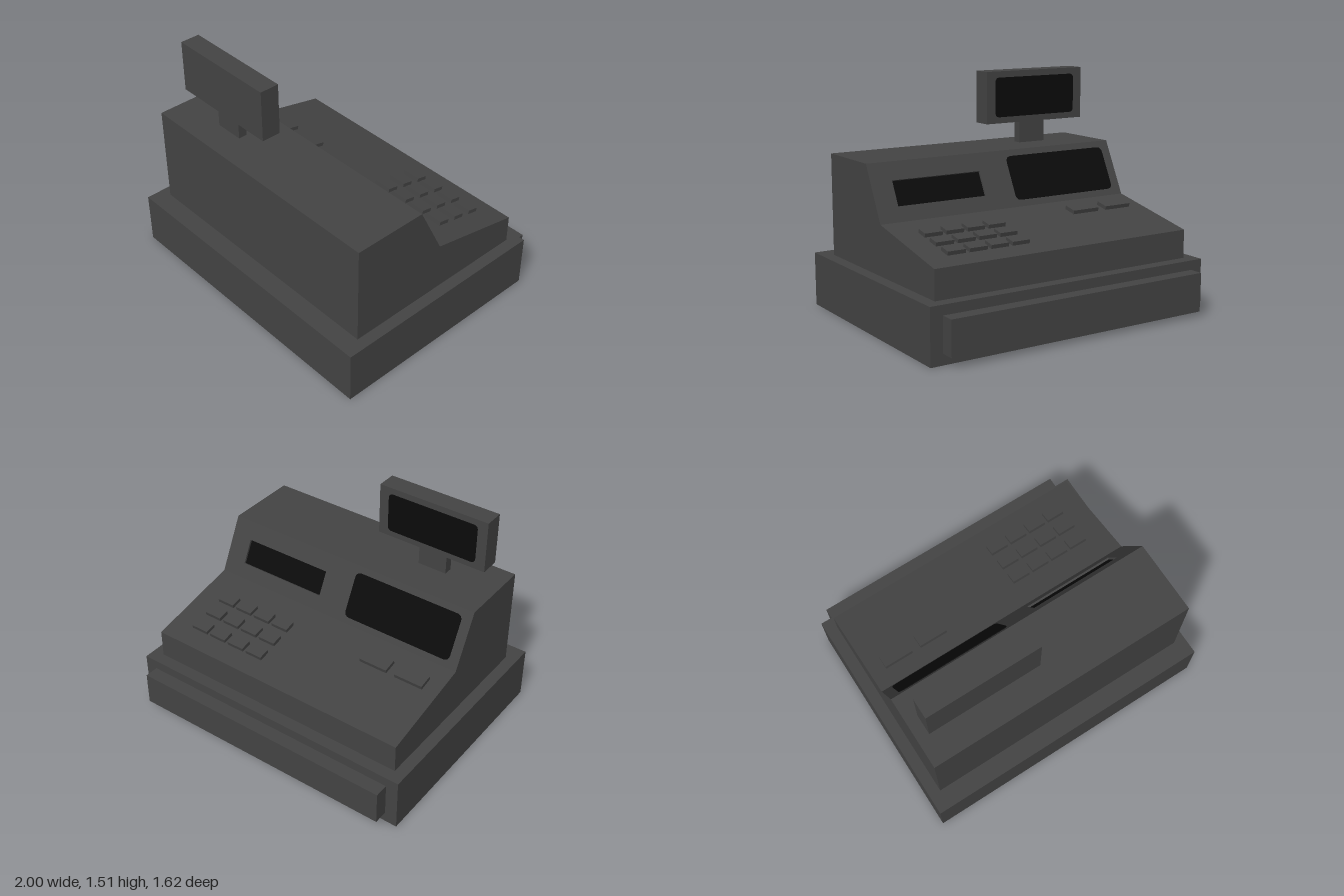
import * as THREE from 'three';

export function createModel() {
  const group = new THREE.Group();
  const casing = new THREE.MeshStandardMaterial({ color: 0x434343 });
  casing.name = 'charcoal casing';
  const glass = new THREE.MeshStandardMaterial({ color: 0x0b0b0b });
  glass.name = 'black glass';

  function add(parent, name, geometry, material) {
    const mesh = new THREE.Mesh(geometry, material);
    mesh.name = name;
    parent.add(mesh);
    return mesh;
  }

  // Box given by its limits on each axis
  function box(name, [x0, x1], [y0, y1], [z0, z1]) {
    add(group, name, new THREE.BoxGeometry(x1 - x0, y1 - y0, z1 - z0), casing)
      .position.set((x0 + x1) / 2, (y0 + y1) / 2, (z0 + z1) / 2);
  }

  // Side profile of [z, y] points, extruded from x0 to x1
  function slice(name, points, x0, x1) {
    const shape = new THREE.Shape(points.map(([z, y]) => new THREE.Vector2(z, y)));
    const geometry = new THREE.ExtrudeGeometry(shape, { depth: x1 - x0, bevelEnabled: false });
    geometry.rotateY(-Math.PI / 2).translate(x1, 0, 0);
    add(group, name, geometry, casing);
  }

  // Thin rounded plate, centred, facing +z
  function plate(w, h, r) {
    const x = w / 2, y = h / 2;
    const s = new THREE.Shape();
    s.moveTo(-x + r, -y);
    s.lineTo(x - r, -y);
    s.quadraticCurveTo(x, -y, x, -y + r);
    s.lineTo(x, y - r);
    s.quadraticCurveTo(x, y, x - r, y);
    s.lineTo(-x + r, y);
    s.quadraticCurveTo(-x, y, -x, y - r);
    s.lineTo(-x, -y + r);
    s.quadraticCurveTo(-x, -y, -x + r, -y);
    return new THREE.ExtrudeGeometry(s, { depth: 0.005, bevelEnabled: false, curveSegments: 6 });
  }

  // Turns an object so its +z points out of a face rising along (dz, dy)
  function turnToFace(object, dz, dy) {
    const up = new THREE.Vector3(0, dy, dz).normalize();
    const out = new THREE.Vector3(0, up.z, -up.y);
    const basis = new THREE.Matrix4().makeBasis(new THREE.Vector3(-1, 0, 0), up, out);
    object.quaternion.setFromRotationMatrix(basis);
  }

  // Drawer base
  box('drawerBase', [-1, 1], [0, 0.352], [-0.717, 0.81]);
  box('drawerFront', [-0.918, 0.918], [0.068, 0.29], [-0.81, -0.717]);

  // Upper housing, with a notch across one section for the paper recess
  const foot = [0.01, 0.673], brow = [0.185, 1.02];
  const dz = brow[0] - foot[0], dy = brow[1] - foot[1], len = Math.hypot(dz, dy);
  const slopeY = z => foot[1] + (z - foot[0]) * dy / dz;
  const depth = 0.018;
  const inward = z => [z + depth * dy / len, slopeY(z) - depth * dz / len];
  const rear = [[0.682, 0.35], [0.682, 1.02], brow];
  const front = [foot, [-0.635, 0.538], [-0.635, 0.35]];
  const notch = [[0.13, slopeY(0.13)], inward(0.13), inward(0.055), [0.055, slopeY(0.055)]];
  slice('housingRight', [...rear, ...front], -0.922, 0.145);
  slice('housingMiddle', [...rear, ...notch, ...front], 0.145, 0.775);
  slice('housingLeft', [...rear, ...front], 0.775, 0.922);

  const recess = add(group, 'recessPanel', plate(0.628, 0.075 * len / dz - 0.002, 0.004), glass);
  turnToFace(recess, dz, dy);
  const [rz, ry] = inward(0.0925);
  recess.position.set(0.46, ry, rz);

  const screen = add(group, 'operatorScreen', plate(0.78, 0.135 * len / dz, 0.04), glass);
  turnToFace(screen, dz, dy);
  screen.position.set(-0.465, slopeY(0.0975), 0.0975);

  // Keys on the sloping deck
  const deckRise = (foot[1] - 0.538) / (foot[0] + 0.635);
  function key(name, x, z, w, d) {
    const mesh = add(group, name, new THREE.BoxGeometry(w, d, 0.05), casing);
    turnToFace(mesh, 1, deckRise);
    mesh.position.set(x, foot[1] + (z - foot[0]) * deckRise, z);
  }
  for (const z of [-0.465, -0.332, -0.2]) {
    for (let i = 0; i < 4; i++) key('numberKey', 0.25 + i * 0.149, z, 0.123, 0.076);
  }
  for (const x of [-0.718, -0.459]) key('wideKey', x, -0.158, 0.198, 0.093);

  // Raised customer display
  box('displayNeck', [-0.565, -0.365], [1, 1.18], [0.43, 0.49]);
  box('displayCase', [-0.852, -0.08], [1.167, 1.515], [0.395, 0.527]);
  const display = add(group, 'displayScreen', plate(0.635, 0.265, 0.03), glass);
  turnToFace(display, 0, 1);
  display.position.set(-0.466, 1.341, 0.395);

  return group;
}
